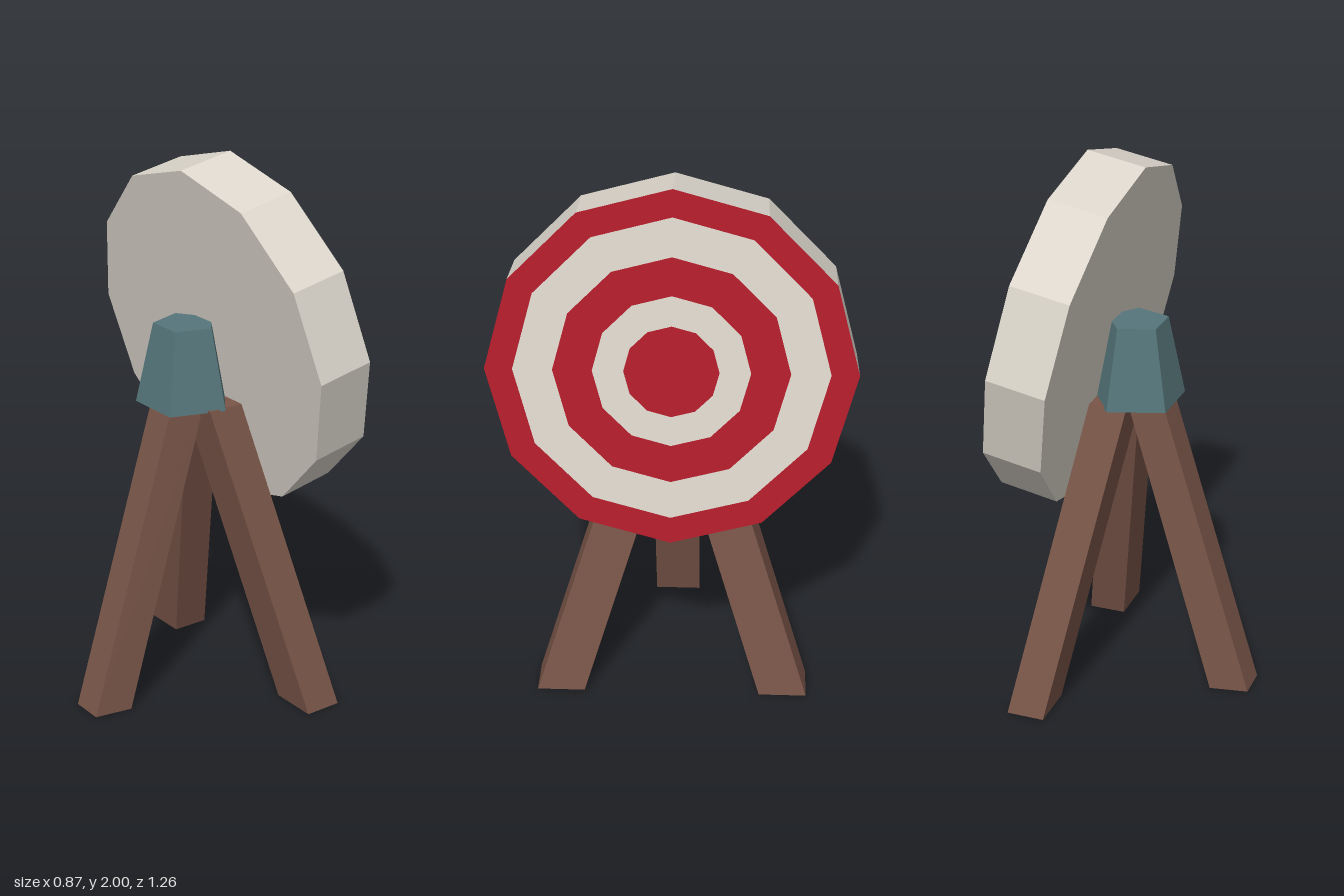
import * as THREE from 'three';

const mat = (color) => new THREE.MeshStandardMaterial({ color, flatShading: true });

// Leaning post: box whose foot and top rectangles are given as [x0, x1, z0, z1].
// outer narrows the -x side of the post in z.
function post(foot, top, height, outer = 1) {
  const geo = new THREE.BoxGeometry(1, 1, 1);
  const p = geo.attributes.position;
  for (let i = 0; i < p.count; i++) {
    const [x0, x1, z0, z1] = p.getY(i) < 0 ? foot : top;
    const mid = (z0 + z1) / 2;
    const half = ((z1 - z0) / 2) * (p.getX(i) < 0 ? outer : 1);
    p.setXYZ(i, p.getX(i) < 0 ? x0 : x1, p.getY(i) < 0 ? 0 : height, mid + Math.sign(p.getZ(i)) * half);
  }
  geo.computeVertexNormals();
  return geo;
}

export function createModel() {
  const model = new THREE.Group();
  model.name = 'archeryTarget';
  const wood = mat(0x795548);
  const red = mat(0xb01c2a);
  const white = mat(0xdcd6cc);
  const teal = mat(0x55757a);

  const add = (parent, name, geo, material) => {
    const mesh = new THREE.Mesh(geo, material);
    mesh.name = name;
    parent.add(mesh);
    return mesh;
  };

  // Tripod: one rear leg and a mirrored pair under the target
  const legTop = 1.12;
  add(model, 'rearLeg', post([-0.44, -0.3, -0.085, 0.085], [-0.1, 0.025, -0.085, 0.085], legTop, 0.71), wood);
  for (const s of [1, -1]) {
    const foot = s > 0 ? [0.325, 0.5] : [-0.5, -0.325];
    const top = s > 0 ? [-0.015, 0.15] : [-0.15, 0.015];
    add(model, s > 0 ? 'frontLegNear' : 'frontLegFar', post([0.2, 0.34, ...foot], [0.005, 0.145, ...top], legTop), wood);
  }

  // Five-sided cap joining the legs
  const cap = add(model, 'tripodCap', new THREE.CylinderGeometry(0.114, 0.177, 0.295, 5, 1, false, Math.PI / 2), teal);
  cap.position.set(0.014, 1.26, -0.01);

  // Twelve-sided target, tilted back to face +x and slightly up
  const target = new THREE.Group();
  target.name = 'target';
  target.position.set(0.211, 1.36, 0);
  target.rotation.z = -THREE.MathUtils.degToRad(79.3);
  model.add(target);

  const R = 0.632;
  const h = 0.108;
  const profile = [[0, -h], [R, -h], [R, h]].map(([x, y]) => new THREE.Vector2(x, y));
  add(target, 'targetBody', new THREE.LatheGeometry(profile, 12), white);

  // Alternating rings and bullseye on the face
  const radii = [R, 0.537, 0.402, 0.268, 0.162, 0];
  for (let i = 0; i < 5; i++) {
    const geo = i < 4 ? new THREE.RingGeometry(radii[i + 1], radii[i], 12) : new THREE.CircleGeometry(radii[i], 12);
    geo.rotateX(-Math.PI / 2).translate(0, h, 0);
    add(target, i < 4 ? `ring${i + 1}` : 'bullseye', geo, i % 2 ? white : red);
  }
  return model;
}
